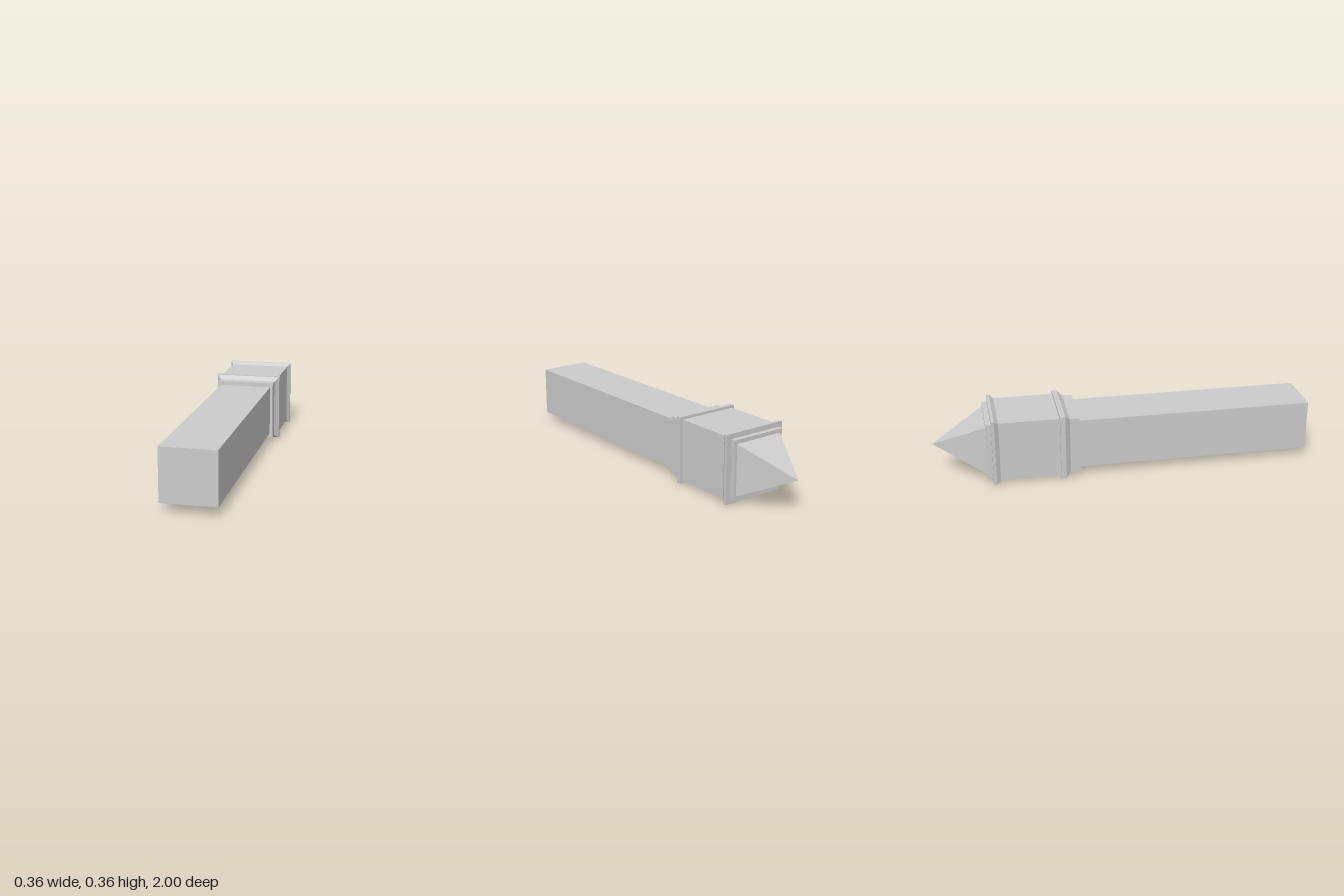
import * as THREE from 'three';

const CENTRE_Y = 0.179;
const material = new THREE.MeshStandardMaterial({ color: 0xcccccc, flatShading: true });

// Square prism, frustum or pyramid lying along z, given its half widths at each end
function squareSection(name, zFront, zBack, halfFront, halfBack = halfFront, heightRatio = 1) {
  const length = zFront - zBack;
  const geometry = new THREE.CylinderGeometry(halfBack * Math.SQRT2, halfFront * Math.SQRT2, length, 4)
    .rotateY(Math.PI / 4)
    .rotateX(-Math.PI / 2)
    .scale(1, heightRatio, 1);
  const mesh = new THREE.Mesh(geometry, material);
  mesh.name = name;
  mesh.position.set(0, CENTRE_Y, (zFront + zBack) / 2);
  return mesh;
}

export function createModel() {
  const model = new THREE.Group();
  model.name = 'squarePost';
  const shaftHalf = 0.139, shaftRatio = 0.957;

  model.add(
    // Long plain shaft
    squareSection('shaft', 1, -0.242, shaftHalf, shaftHalf, shaftRatio),
    // Stepped collar flaring out to a flat rim
    squareSection('collarStep', -0.242, -0.292, 0.154),
    squareSection('collarFlare', -0.292, -0.318, 0.154, 0.174),
    squareSection('collarRim', -0.318, -0.345, 0.177),
    // Thicker head block
    squareSection('headBlock', -0.345, -0.66, 0.163),
    // Moulding at the end of the head
    squareSection('headFlare', -0.66, -0.682, 0.163, 0.179),
    squareSection('headRim', -0.682, -0.697, 0.179),
    squareSection('capStep', -0.697, -0.725, 0.153),
    // Pointed end
    squareSection('pyramidTip', -0.725, -1, shaftHalf, 0, shaftRatio),
  );
  return model;
}
